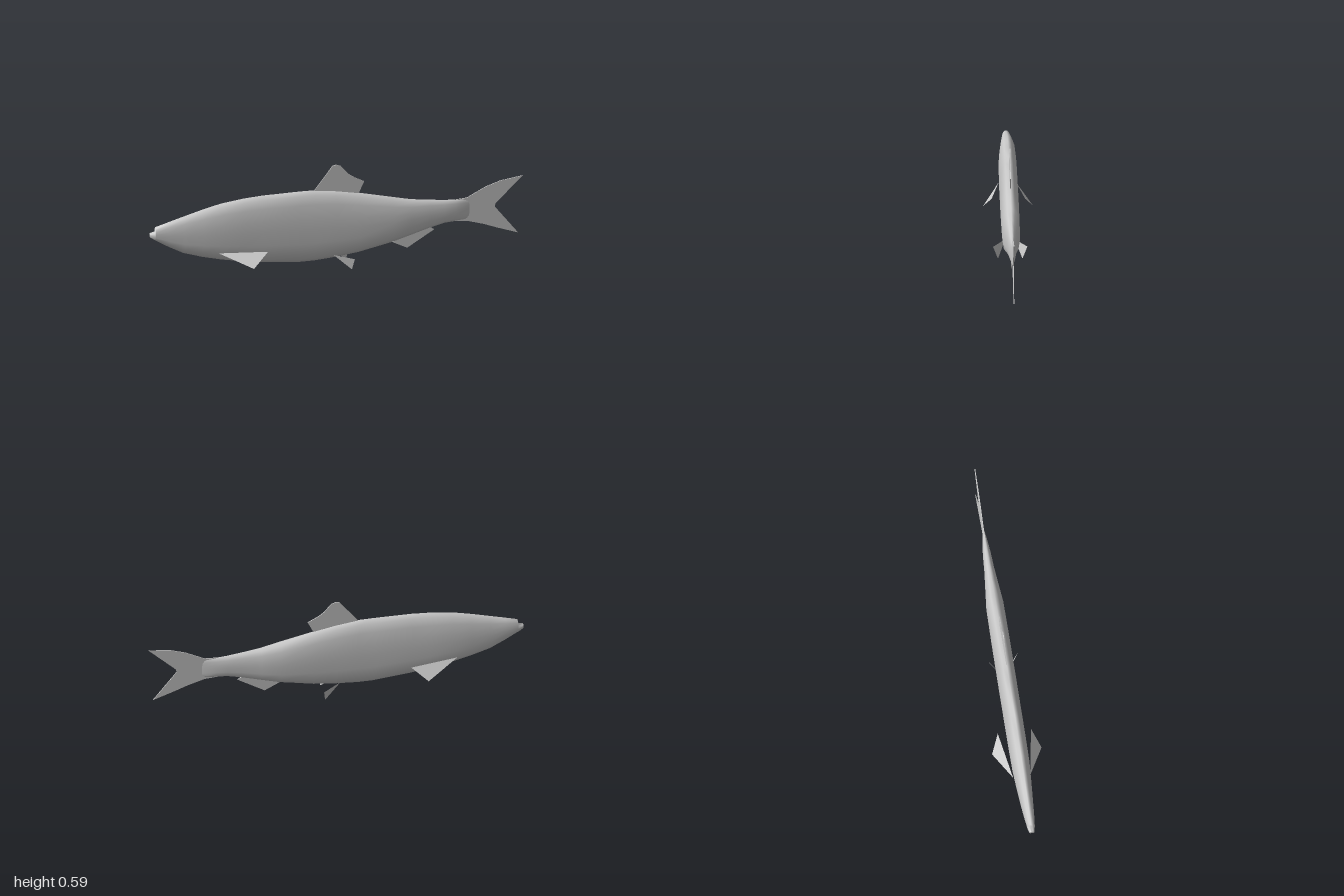
import * as THREE from 'three';

const smooth = new THREE.MeshStandardMaterial({ color: 0xcccccc });
const thin = new THREE.MeshStandardMaterial({ color: 0xcccccc, side: THREE.DoubleSide, flatShading: true });

// Body stations from snout to tail root: [x, top, bottom, half width]
const STATIONS = [
  [-1, 0.298, 0.275, 0.013], [-0.973, 0.304, 0.255, 0.019], [-0.97, 0.33, 0.252, 0.02],
  [-0.9, 0.352, 0.208, 0.027], [-0.82, 0.376, 0.163, 0.033], [-0.72, 0.405, 0.13, 0.04],
  [-0.62, 0.43, 0.104, 0.046], [-0.5, 0.446, 0.08, 0.047], [-0.4, 0.453, 0.064, 0.047],
  [-0.2, 0.455, 0.044, 0.047], [-0.12, 0.454, 0.044, 0.047], [0, 0.438, 0.053, 0.047],
  [0.12, 0.414, 0.068, 0.047], [0.3, 0.37, 0.107, 0.046], [0.4, 0.346, 0.137, 0.036],
  [0.5, 0.332, 0.168, 0.026], [0.58, 0.322, 0.188, 0.021], [0.64, 0.318, 0.193, 0.015],
  [0.69, 0.315, 0.195, 0.007], [0.725, 0.3, 0.21, 0],
];

// Half cross-section from back ridge to keel: [height, width], both relative
const SECTION = [[1, 0], [0.9, 0.45], [0.68, 0.8], [0.3, 0.97], [0, 1],
  [-0.4, 0.98], [-0.72, 0.84], [-0.89, 0.45], [-1, 0]];

function buildBody() {
  const ring = [...SECTION, ...SECTION.slice(1, -1).reverse().map(([h, w]) => [h, -w])];
  const n = ring.length;
  const pos = [], index = [];
  for (const [x, top, bottom, half] of STATIONS) {
    for (const [h, w] of ring) {
      pos.push(x, (top + bottom) / 2 + h * (top - bottom) / 2, w * half);
    }
  }
  for (let i = 0; i < STATIONS.length - 1; i++) {
    for (let j = 0; j < n; j++) {
      const a = i * n + j, b = i * n + (j + 1) % n;
      index.push(a, b, a + n, b, b + n, a + n);
    }
  }
  // Close the snout
  for (let j = 1; j < n - 1; j++) index.push(0, j + 1, j);
  const geo = new THREE.BufferGeometry();
  geo.setAttribute('position', new THREE.Float32BufferAttribute(pos, 3));
  geo.setIndex(index);
  geo.computeVertexNormals();
  return geo;
}

// Thin upright fin on the centre plane
function centreFin(name, points) {
  const depth = 0.004;
  const shape = new THREE.Shape(points.map(([x, y]) => new THREE.Vector2(x, y)));
  const geo = new THREE.ExtrudeGeometry(shape, { depth, bevelEnabled: false });
  geo.translate(0, 0, -depth / 2);
  const mesh = new THREE.Mesh(geo, thin);
  mesh.name = name;
  return mesh;
}

// Mirrored pair of triangular fins
function finPair(name, corners) {
  const pair = new THREE.Group();
  pair.name = name + 's';
  for (const side of [1, -1]) {
    const geo = new THREE.BufferGeometry().setFromPoints(
      corners.map(([x, y, z]) => new THREE.Vector3(x, y, z * side)));
    geo.setIndex(side > 0 ? [0, 1, 2] : [0, 2, 1]);
    geo.computeVertexNormals();
    const fin = new THREE.Mesh(geo, thin);
    fin.name = name;
    pair.add(fin);
  }
  return pair;
}

export function createModel() {
  const fish = new THREE.Group();
  fish.name = 'fish';

  const body = new THREE.Mesh(buildBody(), smooth);
  body.name = 'body';
  fish.add(body);

  fish.add(centreFin('dorsalFin', [[-0.12, 0.45], [-0.02, 0.585], [0, 0.59], [0.025, 0.58],
    [0.065, 0.53], [0.1, 0.505], [0.15, 0.478], [0.12, 0.412], [0, 0.42]]));
  fish.add(centreFin('tailFin', [[0.6, 0.315], [0.7, 0.322], [0.8, 0.375], [0.88, 0.403], [1, 0.42],
    [0.93, 0.35], [0.855, 0.275], [0.85, 0.255], [0.865, 0.235], [0.975, 0.09],
    [0.86, 0.132], [0.79, 0.16], [0.7, 0.188], [0.6, 0.195]]));
  fish.add(centreFin('analFin', [[0.3, 0.107], [0.38, 0.065], [0.525, 0.157], [0.5, 0.175], [0.4, 0.145]]));

  fish.add(finPair('pectoralFin', [[-0.64, 0.163, 0.045], [-0.47, 0.095, 0.131], [-0.385, 0.166, 0.088]]));
  fish.add(finPair('pelvicFin', [[-0.02, 0.077, 0.025], [0.07, 0.002, 0.064], [0.08, 0.073, 0.09]]));
  return fish;
}
